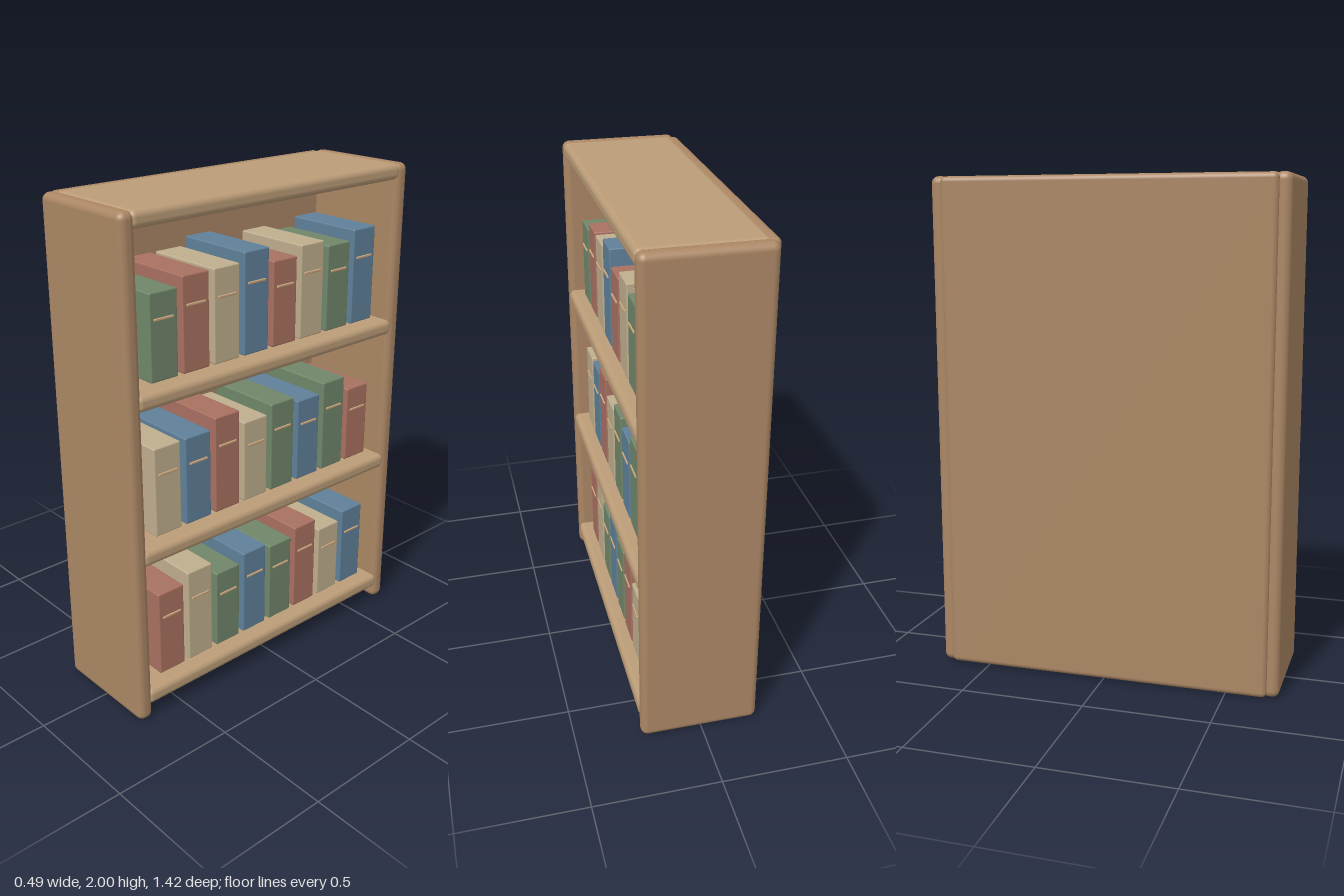
import * as THREE from 'three';
import { RoundedBoxGeometry } from 'three/addons/geometries/RoundedBoxGeometry.js';

const paint = (color) => new THREE.MeshStandardMaterial({ color });
const wood = paint(0xaa8664);
const shelfWood = paint(0xbb9c77);
const bandTan = paint(0xc9a57c);
const pageWhite = paint(0xe6e0d2);
const covers = {
  g: paint(0x70866a),
  r: paint(0xa87060),
  c: paint(0xbfae8e),
  b: paint(0x5f8099),
};

// Rounded board given by its extents on each axis
function board(name, [x0, x1], [y0, y1], [z0, z1], radius, material) {
  const geometry = new RoundedBoxGeometry(x1 - x0, y1 - y0, z1 - z0, 4, radius);
  const mesh = new THREE.Mesh(geometry, material);
  mesh.name = name;
  mesh.position.set((x0 + x1) / 2, (y0 + y1) / 2, (z0 + z1) / 2);
  return mesh;
}

// Book standing on the shelf, its spine facing +x, with a thin band across the spine
function makeBook(height, material) {
  const width = 0.124, back = -0.15, spine = 0.19;
  const book = new THREE.Group();
  book.name = 'book';
  book.add(board('cover', [back, spine], [0, height], [-width / 2, width / 2], 0.006, material));
  const y = height * 0.7;
  book.add(board('spineBand', [spine - 0.006, spine + 0.005], [y - 0.005, y + 0.005], [-0.044, 0.044], 0.003, bandTan));
  return book;
}

export function createModel() {
  const model = new THREE.Group();
  model.name = 'bookcase';

  // Carcass: two side panels and the back, open towards +x
  for (const [name, z] of [['leftSide', 0.677], ['rightSide', -0.677]]) {
    model.add(board(name, [-0.23, 0.242], [0, 2], [z - 0.033, z + 0.033], 0.028, wood));
  }
  model.add(board('backPanel', [-0.245, -0.198], [0.002, 1.998], [-0.664, 0.664], 0.021, wood));

  // Shelves and top board
  for (const y of [0.09, 0.705, 1.322, 1.968]) {
    model.add(board('shelf', [-0.215, 0.242], [y - 0.032, y + 0.032], [-0.664, 0.664], 0.024, shelfWood));
  }

  // Rows of books: cover colours and heights from +z to -z
  const rows = [
    { base: 0.135, colors: 'rcgbgrcb', heights: [0.362, 0.4, 0.338, 0.373, 0.352, 0.385, 0.325, 0.362] },
    { base: 0.752, colors: 'cbrcgbgr', heights: [0.36, 0.36, 0.4, 0.34, 0.375, 0.35, 0.39, 0.325] },
    { base: 1.366, colors: 'grcbrcgb', heights: [0.33, 0.365, 0.365, 0.4, 0.34, 0.376, 0.35, 0.39] },
  ];
  for (const { base, colors, heights } of rows) {
    const row = new THREE.Group();
    row.name = 'bookRow';
    heights.forEach((height, i) => {
      const book = makeBook(height, covers[colors[i]]);
      book.position.set(0, base, 0.503 - i * 0.147);
      row.add(book);
    });
    model.add(row);
  }

  // Small pale slip between two books on the lowest shelf
  model.add(board('paperSlip', [0.1, 0.16], [0.165, 0.2], [-0.17, -0.144], 0.003, pageWhite));

  return model;
}
